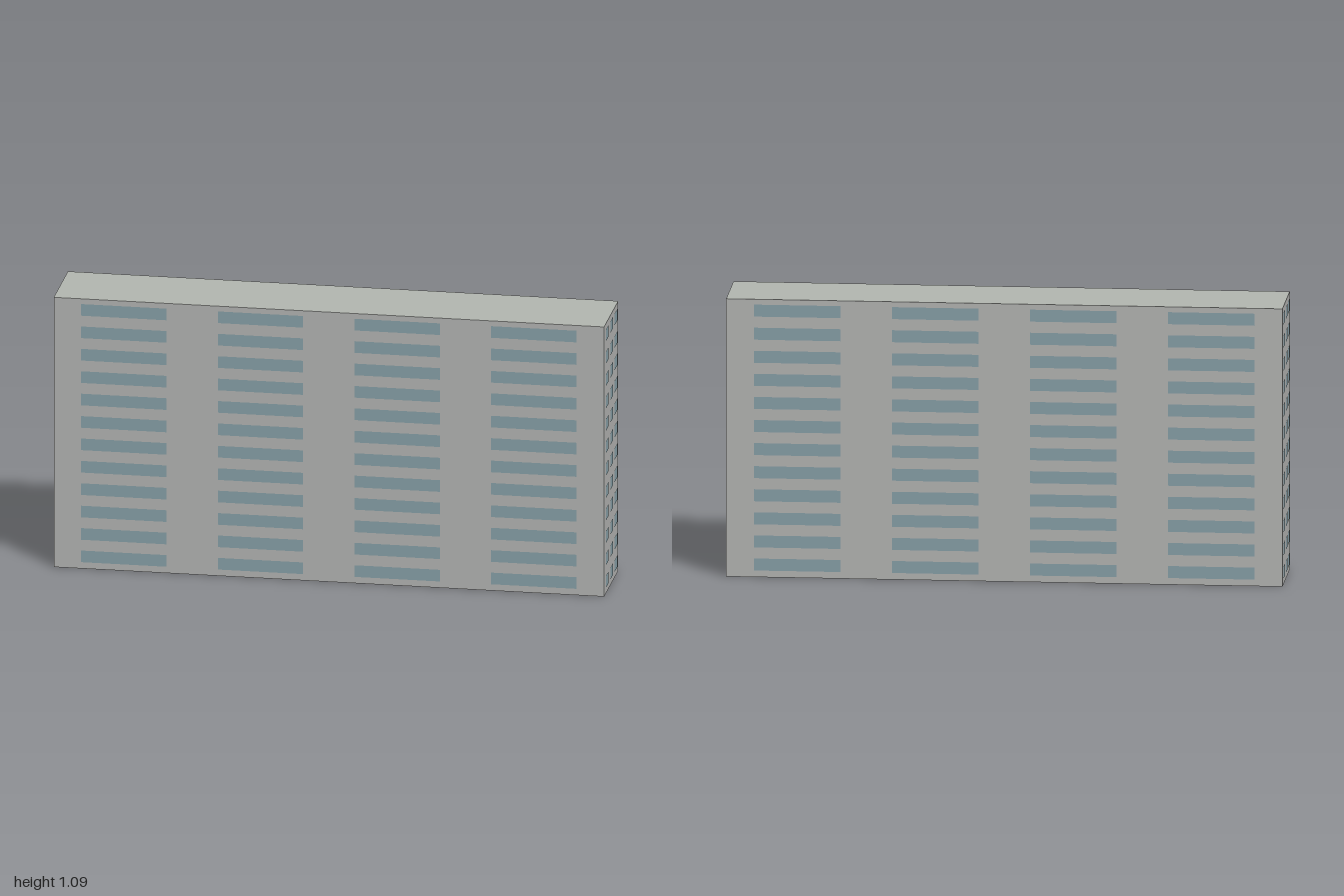
import * as THREE from 'three';
import { mergeGeometries } from 'three/addons/utils/BufferGeometryUtils.js';

const LENGTH = 2.139, DEPTH = 0.321, HEIGHT = 1.088;
const ROWS = 12, ROW_STEP = 0.0904, FIRST_ROW = 0.0495, WINDOW_HEIGHT = 0.047;

export function createModel() {
  const wall = new THREE.MeshStandardMaterial({ color: 0xb4b5b3, side: THREE.DoubleSide });
  wall.name = 'concrete wall';
  const roofing = new THREE.MeshStandardMaterial({ color: 0xb2b6b0, side: THREE.DoubleSide });
  roofing.name = 'roof grey';
  const glass = new THREE.MeshStandardMaterial({ color: 0x87a0a8 });
  glass.name = 'window blue';

  const model = new THREE.Group();
  model.name = 'slabBuilding';
  model.rotation.y = 0.54; // the block stands diagonally on its plot

  // One wall with its grid of flat windows, pushed out from the centre
  function addFacade(name, width, offset, turn, columns, step, windowWidth) {
    const facade = new THREE.Group();
    facade.name = name;
    facade.rotation.y = turn;

    const panel = new THREE.Mesh(
      new THREE.PlaneGeometry(width, HEIGHT).translate(0, HEIGHT / 2, offset), wall);
    panel.name = name + 'Wall';

    const panes = [];
    for (let row = 0; row < ROWS; row++) {
      for (let col = 0; col < columns; col++) {
        panes.push(new THREE.PlaneGeometry(windowWidth, WINDOW_HEIGHT).translate(
          (col - (columns - 1) / 2) * step, FIRST_ROW + row * ROW_STEP, offset + 0.002));
      }
    }
    const windows = new THREE.Mesh(mergeGeometries(panes), glass);
    windows.name = name + 'Windows';

    facade.add(panel, windows);
    model.add(facade);
  }

  // Long sides: four wide bays; ends: three small columns
  addFacade('front', LENGTH, DEPTH / 2, 0, 4, 0.531, 0.332);
  addFacade('back', LENGTH, DEPTH / 2, Math.PI, 4, 0.531, 0.332);
  addFacade('leftEnd', DEPTH, LENGTH / 2, Math.PI / 2, 3, 0.1, 0.062);
  addFacade('rightEnd', DEPTH, LENGTH / 2, -Math.PI / 2, 3, 0.1, 0.062);

  // Flat roof; the shell is open underneath
  const roof = new THREE.Mesh(
    new THREE.PlaneGeometry(LENGTH, DEPTH).rotateX(-Math.PI / 2).translate(0, HEIGHT, 0), roofing);
  roof.name = 'roof';
  model.add(roof);

  const root = new THREE.Group();
  root.name = 'building';
  root.add(model);
  return root;
}
